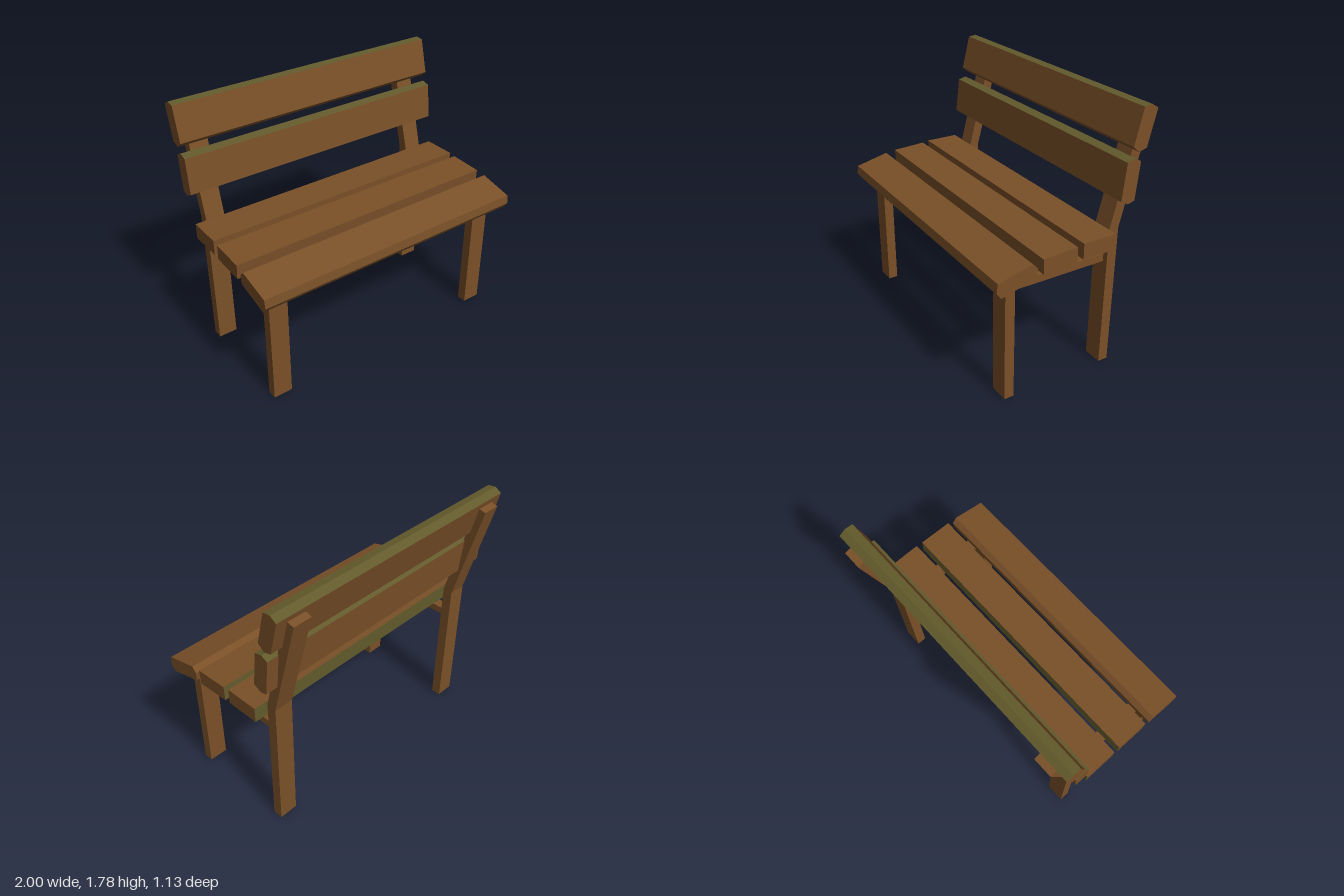
import * as THREE from 'three';

// Prism along x from a [z, y] profile; edges listed in mossy use the second material.
function prism(profile, x0, x1, mossy = []) {
  const pos = [];
  const geo = new THREE.BufferGeometry();
  const add = (x, p) => pos.push(x, p[1], p[0]);
  const n = profile.length;
  profile.forEach((a, i) => {
    const b = profile[(i + 1) % n];
    add(x0, a); add(x1, a); add(x1, b);
    add(x0, a); add(x1, b); add(x0, b);
    geo.addGroup(i * 6, 6, mossy.includes(i) ? 1 : 0);
  });
  // End caps
  for (let i = 1; i < n - 1; i++) {
    add(x1, profile[0]); add(x1, profile[i + 1]); add(x1, profile[i]);
    add(x0, profile[0]); add(x0, profile[i]); add(x0, profile[i + 1]);
  }
  geo.addGroup(n * 6, (n - 2) * 6, 0);
  geo.setAttribute('position', new THREE.Float32BufferAttribute(pos, 3));
  geo.computeVertexNormals();
  return geo;
}

export function createModel() {
  const group = new THREE.Group();
  const wood = new THREE.MeshStandardMaterial({ color: 0x7a5028 });
  wood.name = 'brown wood';
  const moss = new THREE.MeshStandardMaterial({ color: 0x625a2c });
  moss.name = 'mossy wood';

  const part = (name, profile, x0, x1, mossy) => {
    const mesh = new THREE.Mesh(prism(profile, x0, x1, mossy), [wood, moss]);
    mesh.name = name;
    group.add(mesh);
  };

  // Full-width planks of the seat and backrest
  part('frontSeatPlank', [[0.56, 0.911], [0.323, 0.968], [0.29, 0.93], [0.295, 0.869], [0.536, 0.807], [0.568, 0.85]], -1, 1);
  part('middleSeatPlank', [[0.25, 0.977], [0.007, 0.989], [0.003, 0.885], [0.244, 0.873]], -1, 1, [1]);
  part('rearSeatPlank', [[-0.04, 0.997], [-0.281, 0.997], [-0.281, 0.89], [-0.04, 0.89]], -1, 1, [1]);
  part('lowerBackPlank', [[-0.328, 1.45], [-0.385, 1.464], [-0.43, 1.44], [-0.404, 1.19], [-0.356, 1.176], [-0.3, 1.204]], -1, 1, [0, 1]);
  part('upperBackPlank', [[-0.423, 1.775], [-0.479, 1.782], [-0.526, 1.752], [-0.465, 1.516], [-0.408, 1.501], [-0.364, 1.539]], -1, 1, [0, 1]);

  // Legs and rails on both sides
  for (const [side, s] of [['left', 1], ['right', -1]]) {
    const pair = (name, profile, a, b) =>
      part(side + name, profile, Math.min(s * a, s * b), Math.max(s * a, s * b));
    pair('RearLeg', [[-0.37, 0.982], [-0.358, 0], [-0.288, 0], [-0.3, 0.987], [-0.495, 1.72], [-0.564, 1.702]], 0.782, 0.915);
    pair('FrontLeg', [[0.455, 0.85], [0.387, 0.866], [0.387, 0], [0.455, 0]], 0.782, 0.915);
    pair('Rail', [[0.39, 0.797], [-0.303, 0.797], [-0.303, 0.745], [0.39, 0.745]], 0.805, 0.878);
  }
  return group;
}
